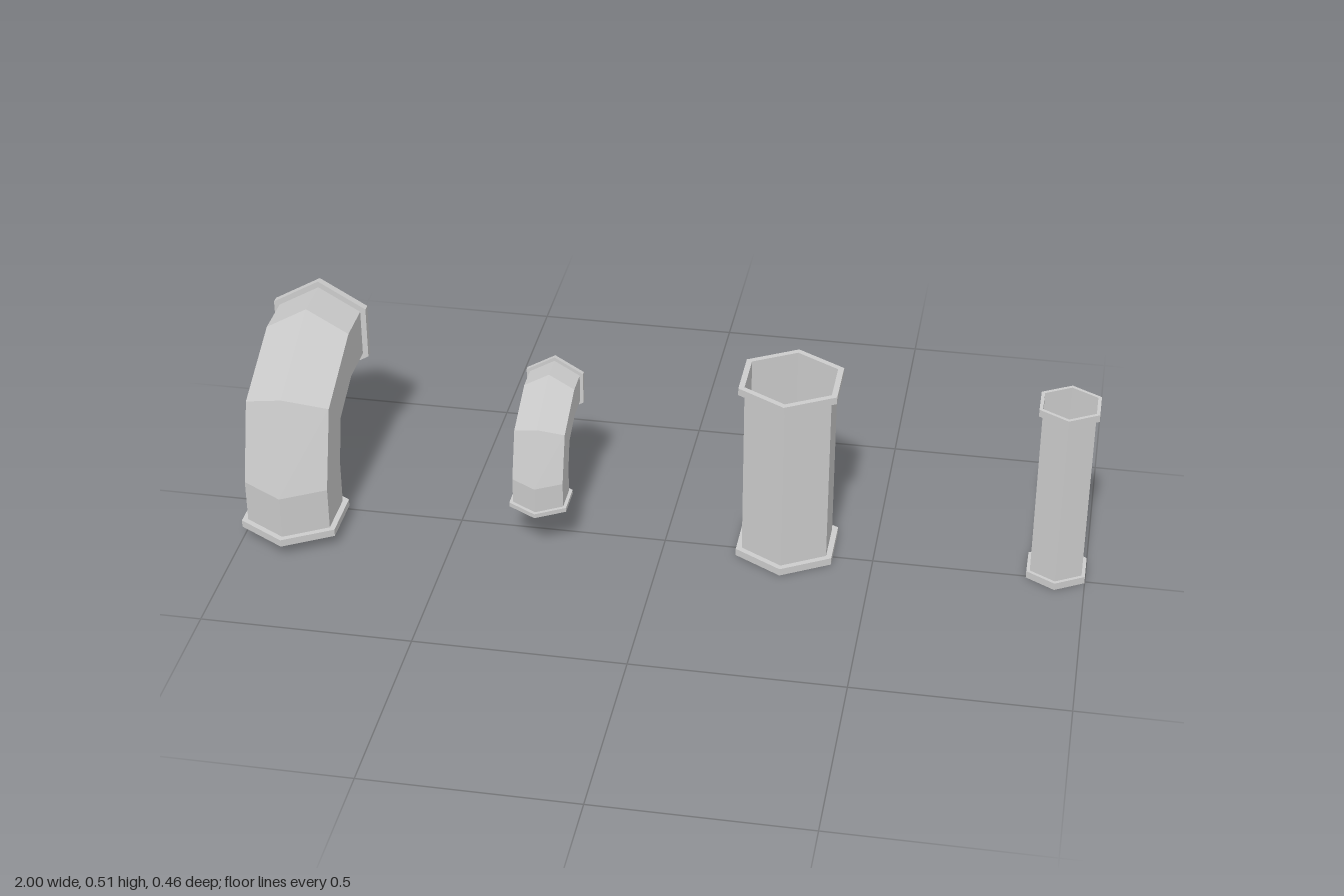
import * as THREE from 'three';

const material = new THREE.MeshStandardMaterial({ color: 0xcccccc, flatShading: true, side: THREE.DoubleSide });
const SIDES = 6, BODY = 0.1165, RIM = 0.132, RIM_HEIGHT = 0.018;

// Skin between hexagonal rings [y, z, tilt, radius]; a tilt of 0 lies flat, 90 degrees faces back
function loft(name, rings) {
  const corner = ([y, z, tilt, r], k) => {
    const a = (k / SIDES) * Math.PI * 2, out = r * Math.cos(a);
    return [r * Math.sin(a), y + out * Math.sin(tilt), z + out * Math.cos(tilt)];
  };
  const points = [];
  for (let i = 0; i < rings.length - 1; i++) {
    for (let k = 0; k < SIDES; k++) {
      const a = corner(rings[i], k), b = corner(rings[i], k + 1);
      const c = corner(rings[i + 1], k + 1), d = corner(rings[i + 1], k);
      points.push(...a, ...b, ...c, ...a, ...c, ...d);
    }
  }
  const geometry = new THREE.BufferGeometry();
  geometry.setAttribute('position', new THREE.Float32BufferAttribute(points, 3));
  geometry.computeVertexNormals();
  const mesh = new THREE.Mesh(geometry, material);
  mesh.name = name;
  return mesh;
}

// Raised collar that starts at (y, z) and runs along the pipe
function flange(name, y, z, tilt) {
  const y2 = y + RIM_HEIGHT * Math.cos(tilt), z2 = z - RIM_HEIGHT * Math.sin(tilt);
  return loft(name, [[y, z, tilt, BODY], [y, z, tilt, RIM], [y2, z2, tilt, RIM], [y2, z2, tilt, BODY]]);
}

function straightPipe(name) {
  const height = 0.465, pipe = new THREE.Group();
  pipe.name = name;
  pipe.add(
    loft('pipeWall', [[0, 0, 0, BODY], [height, 0, 0, BODY]]),
    flange('bottomFlange', 0, 0, 0),
    flange('topFlange', height - RIM_HEIGHT, 0, 0)
  );
  return pipe;
}

// Elbow standing on y = 0, rising and then turning towards the back
function elbowPipe(name) {
  const pipe = new THREE.Group(), back = Math.PI / 2;
  pipe.name = name;
  pipe.add(
    loft('elbowWall', [
      [0, 0, 0, BODY],
      [0.124, 0, 0, BODY],
      [0.274, -0.044, 0.74, BODY],
      [0.346, -0.197, back, BODY],
      [0.346, -0.323, back, BODY]
    ]),
    flange('bottomFlange', 0, 0, 0),
    flange('backFlange', 0.346, -0.305, back)
  );
  return pipe;
}

export function createModel() {
  const model = new THREE.Group();
  model.name = 'pipeSet';

  const largeElbow = elbowPipe('largeElbow');
  largeElbow.position.set(-0.886, 0.031, 0.096);

  const smallElbow = elbowPipe('smallElbow');
  smallElbow.scale.setScalar(0.6);
  smallElbow.position.set(-0.292, 0.112, 0.044);

  const largePipe = straightPipe('largePipe');
  largePipe.position.set(0.29, 0, -0.034);

  const smallPipe = straightPipe('smallPipe');
  smallPipe.scale.set(0.6, 1, 0.6);
  smallPipe.position.set(0.931, 0, -0.034);

  model.add(largeElbow, smallElbow, largePipe, smallPipe);
  return model;
}
